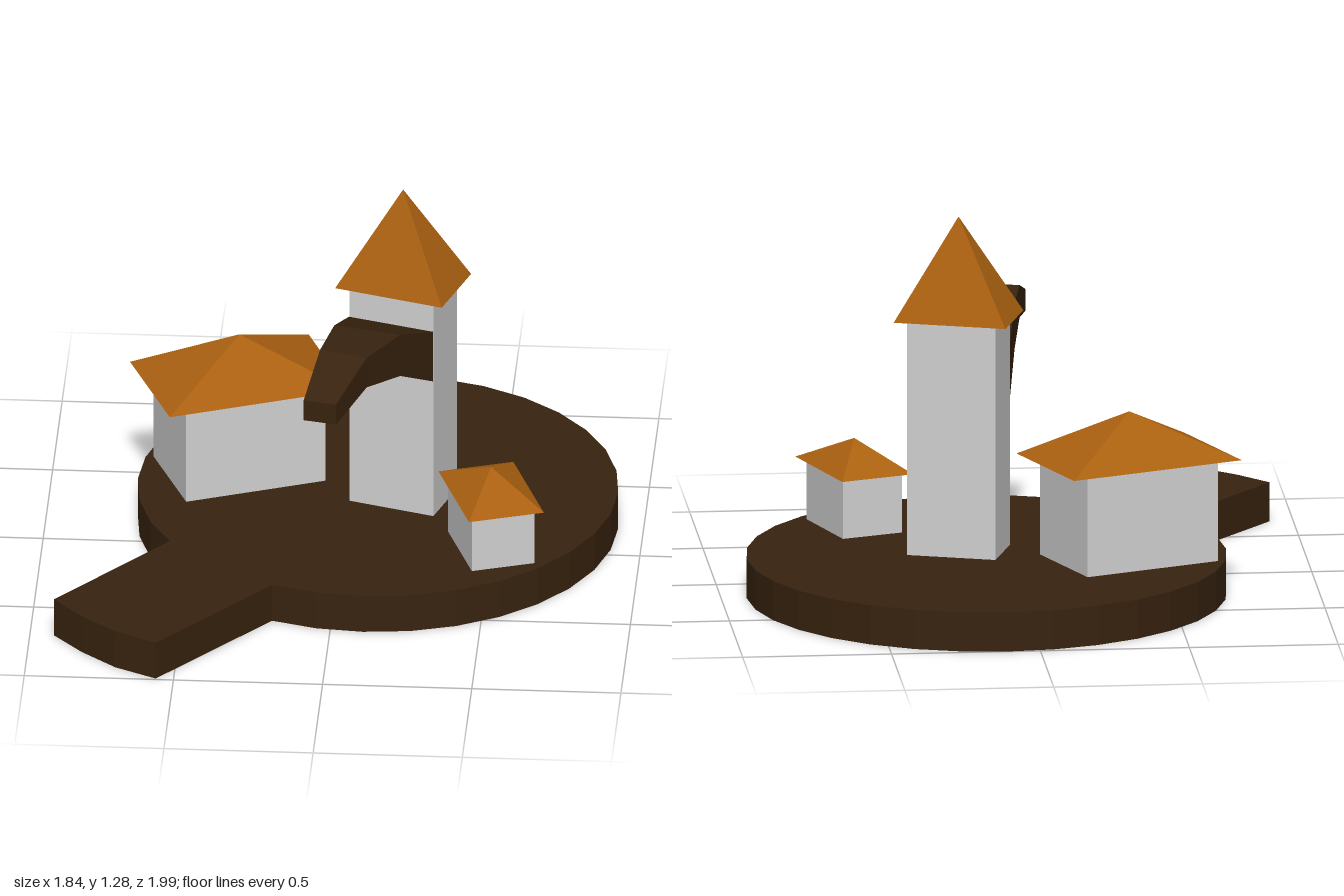
import * as THREE from 'three';

const earth = new THREE.MeshStandardMaterial({ color: 0x38230f });
earth.name = 'darkBrown';
const wall = new THREE.MeshStandardMaterial({ color: 0xd0d0d0 });
wall.name = 'lightGrey';
const tile = new THREE.MeshStandardMaterial({ color: 0xaa6010 });
tile.name = 'roofOrange';

const BASE_TOP = 0.135;

function mesh(name, geometry, material) {
  const m = new THREE.Mesh(geometry, material);
  m.name = name;
  return m;
}

// Unit pyramid with a square base, faceted
function pyramid(w, h, d) {
  const g = new THREE.ConeGeometry(Math.SQRT1_2, 1, 4).rotateY(Math.PI / 4).scale(w, h, d).toNonIndexed();
  g.computeVertexNormals();
  return g;
}

// Box walls under an overhanging pyramid roof
function building(name, { x, z, turn, walls, eaves, eaveY, peakY }) {
  const group = new THREE.Group();
  group.name = name;
  const h = eaveY - BASE_TOP;
  const body = mesh(name + 'Walls', new THREE.BoxGeometry(walls[0], h, walls[1]), wall);
  body.position.y = BASE_TOP + h / 2;
  const roof = mesh(name + 'Roof', pyramid(eaves[0], peakY - eaveY, eaves[1]), tile);
  roof.position.y = (eaveY + peakY) / 2;
  group.add(body, roof);
  group.position.set(x, 0, z);
  group.rotation.y = turn;
  return group;
}

// Round slab with a handle-like causeway between two of its 32 corners
function baseGeometry() {
  const cx = 0.11, cz = -0.195, r = 0.805, step = Math.PI / 16;
  const points = [];
  for (let i = 13; i <= 42; i++) {
    points.push(new THREE.Vector2(cx + r * Math.cos(i * step), cz + r * Math.sin(i * step)));
  }
  for (const [x, z] of [[-0.56, 0.993], [-0.7, 0.92], [-0.82, 0.815], [-0.92, 0.7]]) {
    points.push(new THREE.Vector2(x, z));
  }
  const g = new THREE.ExtrudeGeometry(new THREE.Shape(points), { depth: BASE_TOP, bevelEnabled: false });
  return g.rotateX(Math.PI / 2).translate(0, BASE_TOP, 0);
}

// Tapering arched arm, lofted through four-cornered sections
function armGeometry() {
  // left x, left z, right x, right z, bottom y, top y
  const sections = [
    [0.02, -0.075, 0.308, 0.017, 0.643, 0.83],
    [-0.015, 0.145, 0.21, 0.2, 0.755, 0.91],
    [-0.05, 0.35, 0.11, 0.395, 0.81, 0.922],
    [-0.09, 0.58, 0.02, 0.605, 0.775, 0.85],
  ].map(([lx, lz, rx, rz, b, t]) => [[lx, b, lz], [rx, b, rz], [rx, t, rz], [lx, t, lz]]);
  const pos = [];
  const quad = (a, b, c, d) => pos.push(...a, ...b, ...c, ...a, ...c, ...d);
  for (let i = 0; i < sections.length - 1; i++) {
    const p = sections[i], q = sections[i + 1];
    for (let k = 0; k < 4; k++) {
      const n = (k + 1) % 4;
      quad(p[k], p[n], q[n], q[k]);
    }
  }
  quad(...sections[sections.length - 1]);
  quad(...[...sections[0]].reverse());
  const g = new THREE.BufferGeometry();
  g.setAttribute('position', new THREE.Float32BufferAttribute(pos, 3));
  g.computeVertexNormals();
  return g;
}

export function createModel() {
  const model = new THREE.Group();
  model.name = 'tinyVillage';
  model.add(
    mesh('base', baseGeometry(), earth),
    mesh('archedArm', armGeometry(), earth),
    building('largeHouse', {
      x: -0.361, z: -0.29, turn: 0.382, walls: [0.49, 0.35], eaves: [0.63, 0.425], eaveY: 0.483, peakY: 0.64,
    }),
    building('tower', {
      x: 0.198, z: -0.133, turn: -0.317, walls: [0.303, 0.213], eaves: [0.384, 0.265], eaveY: 0.94, peakY: 1.285,
    }),
    building('smallHouse', {
      x: 0.516, z: 0.229, turn: 0.333, walls: [0.217, 0.3], eaves: [0.26, 0.384], eaveY: 0.343, peakY: 0.438,
    }),
  );
  return model;
}
